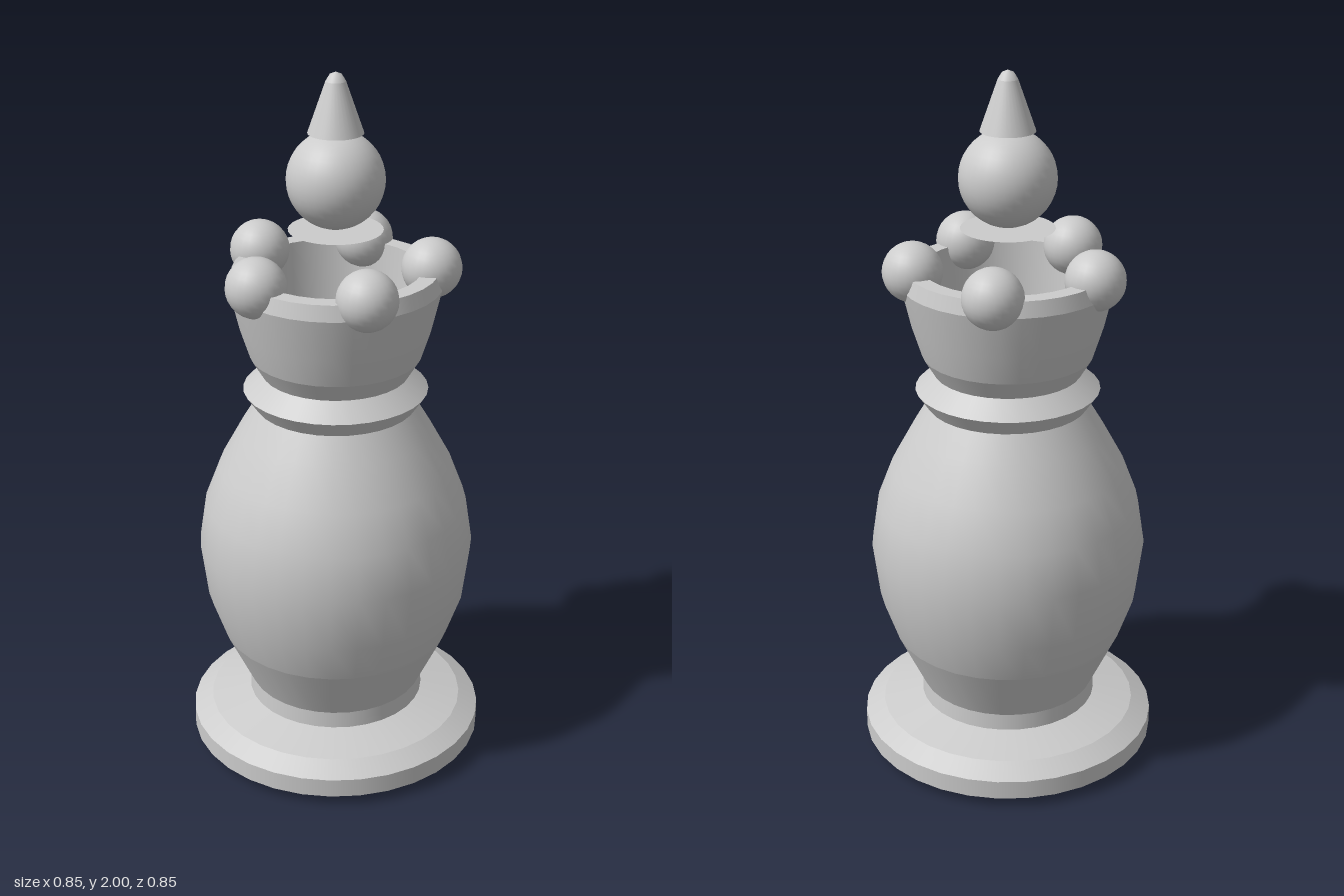
import * as THREE from 'three';

const SEGMENTS = 32;

export function createModel() {
  const model = new THREE.Group();
  const material = new THREE.MeshStandardMaterial({ color: 0xcccccc });
  const thin = new THREE.MeshStandardMaterial({ color: 0xcccccc, side: THREE.DoubleSide });

  const add = (parent, name, geometry, mat = material) => {
    const mesh = new THREE.Mesh(geometry, mat);
    mesh.name = name;
    parent.add(mesh);
    return mesh;
  };

  // Turned part: each section is smooth, with a hard edge between sections
  const turned = (name, sections) => {
    const part = new THREE.Group();
    part.name = name;
    sections.forEach((points, i) => {
      const profile = points.map(([r, y]) => new THREE.Vector2(r, y));
      add(part, name + 'Section' + (i + 1), new THREE.LatheGeometry(profile, SEGMENTS));
    });
    model.add(part);
  };

  // One section for every straight step of a profile
  const steps = (points) => points.slice(1).map((p, i) => [points[i], p]);

  turned('base', steps([
    [0, 0], [0.37, 0], [0.425, 0.03], [0.425, 0.085], [0.37, 0.118], [0.255, 0.147], [0.252, 0.195],
  ]));

  turned('body', [
    [[0.252, 0.195], [0.33, 0.36]],
    [[0.33, 0.36], [0.372, 0.48], [0.392, 0.64], [0.372, 0.77], [0.33, 0.88], [0.27, 0.99], [0.225, 1.065]],
  ]);

  turned('collar', steps([[0.225, 1.065], [0.258, 1.113], [0.205, 1.16]]));

  // Hollow crown cup: outside, rim, inside wall and floor
  turned('crownCup', [
    [[0.205, 1.16], [0.238, 1.215]],
    [[0.238, 1.215], [0.265, 1.3], [0.293, 1.42]],
    ...steps([[0.293, 1.42], [0.282, 1.463], [0.235, 1.463], [0.218, 1.22], [0, 1.22]]),
  ]);

  // Five balls around the rim, the first at the back
  const crownBalls = new THREE.Group();
  crownBalls.name = 'crownBalls';
  for (let i = 0; i < 5; i++) {
    const a = (i * Math.PI * 2) / 5;
    const ball = add(crownBalls, 'crownBall', new THREE.SphereGeometry(0.083, 24, 16));
    ball.position.set(0.26 * Math.sin(a), 1.463, -0.26 * Math.cos(a));
  }
  model.add(crownBalls);

  // Thin disc under the top ball
  const disc = add(model, 'ballDisc', new THREE.CircleGeometry(0.129, SEGMENTS), thin);
  disc.rotation.x = -Math.PI / 2;
  disc.position.y = 1.573;

  add(model, 'topBall', new THREE.SphereGeometry(0.133, 32, 20)).position.y = 1.711;

  // Spike with a rounded tip
  turned('spike', [
    [[0, 1.838], [0.075, 1.838]],
    [[0.075, 1.838], [0.027, 1.975]],
    [[0.027, 1.975], [0.016, 1.993], [0, 2]],
  ]);

  return model;
}
